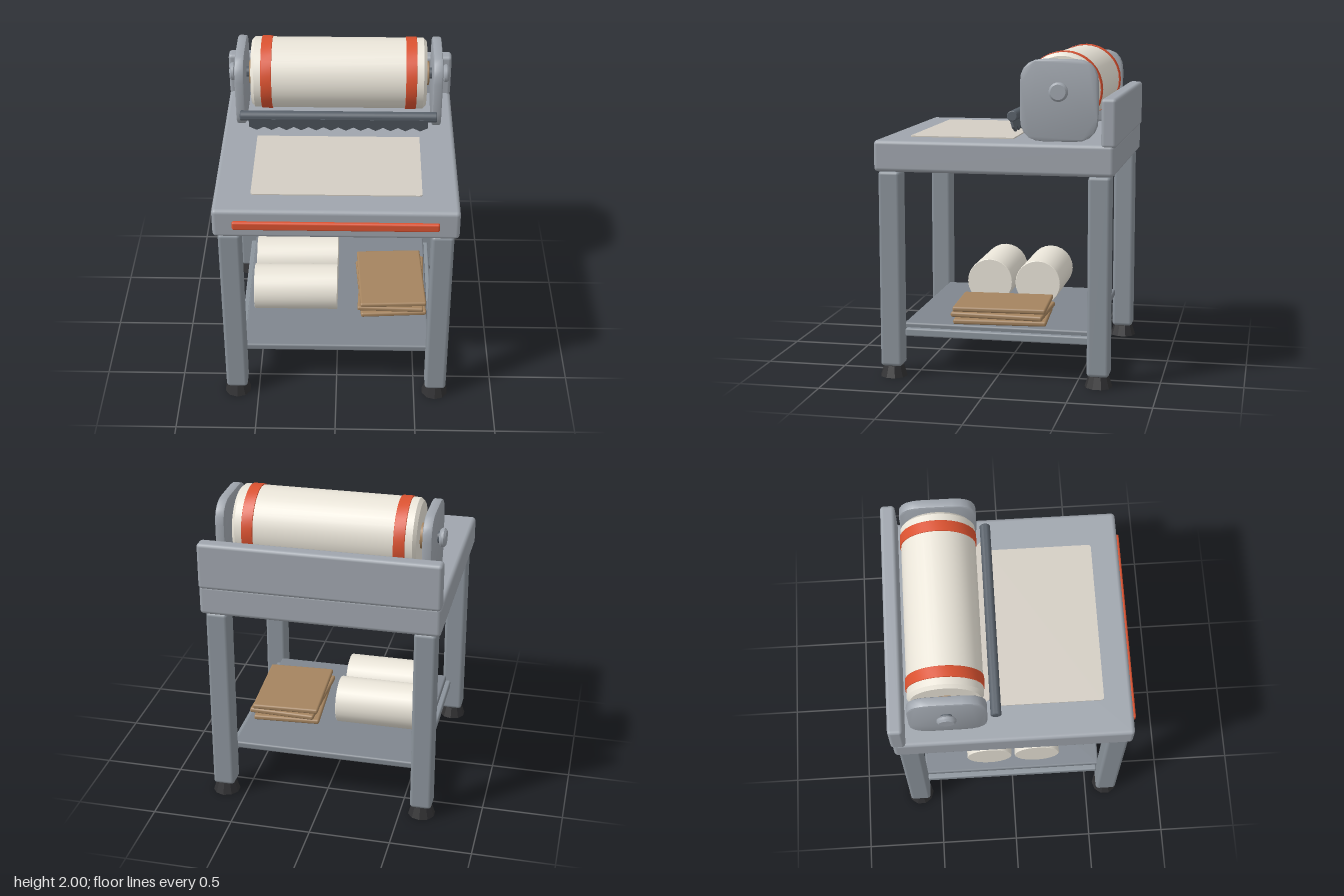
import * as THREE from 'three';
import { RoundedBoxGeometry } from 'three/addons/geometries/RoundedBoxGeometry.js';
import { toCreasedNormals } from 'three/addons/utils/BufferGeometryUtils.js';

const mat = (color, extra = {}) => new THREE.MeshStandardMaterial({ color, ...extra });
const steel = mat(0x9fa5ad);
const legSteel = mat(0x8b939b);
const shelfSteel = mat(0x7f868e);
const darkSteel = mat(0x59616a);
const rubber = mat(0x303032);
const orange = mat(0xdb5230);
const cream = mat(0xe9e4d8);
const sheetPaper = mat(0xd3cdc3, { side: THREE.DoubleSide });
const cardboard = mat(0xa5845f);

export function createModel() {
  const model = new THREE.Group();

  const add = (name, geometry, material, x = 0, y = 0, z = 0) => {
    const mesh = new THREE.Mesh(geometry, material);
    mesh.name = name;
    mesh.position.set(x, y, z);
    model.add(mesh);
    return mesh;
  };
  const box = (w, h, d, r) => new RoundedBoxGeometry(w, h, d, 2, r);
  // Solid of revolution along x, from [radius, x] pairs
  const turned = (pairs, sides = 24) => {
    const g = new THREE.LatheGeometry(pairs.map(([r, x]) => new THREE.Vector2(r, x)), sides);
    g.rotateZ(-Math.PI / 2);
    return toCreasedNormals(g, 0.6);
  };
  // Cylinder along x with bevelled rims
  const rod = (r, len, bevel = 0.005, sides = 24) => {
    const h = len / 2;
    return turned([[0, -h], [r - bevel, -h], [r, -h + bevel], [r, h - bevel], [r - bevel, h], [0, h]], sides);
  };

  // Worktop, back board and front strip
  add('worktop', box(1.46, 0.19, 1.45, 0.025), steel, 0, 1.375, -0.005);
  add('backBoard', box(1.46, 0.29, 0.09, 0.022), steel, 0, 1.595, -0.695);
  add('frontStrip', box(1.22, 0.055, 0.035, 0.012), orange, 0, 1.373, 0.723);

  // Legs with flared rubber feet
  for (const x of [-0.635, 0.635]) {
    for (const z of [-0.64, 0.635]) {
      add('leg', box(0.135, 1.21, 0.135, 0.022), legSteel, x, 0.675, z);
      const foot = new THREE.CylinderGeometry(0.062, 0.085, 0.07, 10);
      add('foot', toCreasedNormals(foot, 0.4), rubber, x, 0.035, z);
    }
  }

  // Lower shelf and its side rails
  add('shelf', box(1.18, 0.045, 1.17, 0.012), shelfSteel, 0, 0.302, -0.005);
  for (const x of [-0.6, 0.6]) {
    add('shelfRail', box(0.045, 0.05, 1.14, 0.01), legSteel, x, 0.27, -0.005);
  }

  // Spare rolls
  for (const z of [0.163, -0.153]) {
    add('spareRoll', rod(0.148, 0.54, 0.003), cream, -0.27, 0.473, z);
  }

  // Stack of boards, each turned a little
  [[0.35, 0.07], [0.355, -0.03], [0.352, 0.05]].forEach(([x, turn], i) => {
    const board = add('board', box(0.43, 0.032, 0.575, 0.012), cardboard, x, 0.341 + i * 0.039, 0);
    board.rotation.y = turn;
  });

  // Main roll on its spindle
  const axisY = 1.77, axisZ = -0.392;
  add('mainRoll', rod(0.224, 1.1, 0.02, 32), cream, 0, axisY, axisZ);
  add('rollCore', rod(0.077, 1.14), cardboard, 0, axisY, axisZ);
  add('spindle', rod(0.034, 1.34), darkSteel, 0, axisY, axisZ);

  // Side plate outline: an upright block with generous corners
  const w = 0.222, h = 0.232, r = 0.13;
  const plate = new THREE.Shape();
  plate.moveTo(-w + r, -h);
  plate.lineTo(w - r, -h);
  plate.quadraticCurveTo(w, -h, w, -h + r);
  plate.lineTo(w, h - r);
  plate.quadraticCurveTo(w, h, w - r, h);
  plate.lineTo(-w + r, h);
  plate.quadraticCurveTo(-w, h, -w, h - r);
  plate.lineTo(-w, -h + r);
  plate.quadraticCurveTo(-w, -h, -w + r, -h);
  const plateGeometry = new THREE.ExtrudeGeometry(plate, {
    depth: 0.034, bevelThickness: 0.012, bevelSize: 0.01, bevelSegments: 2, curveSegments: 5,
  });
  plateGeometry.translate(0, 0, -0.017);
  plateGeometry.rotateY(Math.PI / 2);
  const creasedPlate = toCreasedNormals(plateGeometry, 0.5);

  // Bands, side plates and knobs on both ends
  for (const s of [-1, 1]) {
    add('rollBand', rod(0.23, 0.068, 0.002, 32), orange, s * 0.453, axisY, axisZ);
    add('sidePlate', creasedPlate, steel, s * 0.617, 1.717, -0.388);
    add('spindleKnob', rod(0.057, 0.038, 0.012), steel, s * 0.677, axisY, axisZ);
  }

  // Cutter bar
  add('cutterBar', rod(0.032, 1.23), darkSteel, 0, 1.618, -0.105);

  // Toothed blade hanging below the bar, leaning back
  const teeth = 12, half = 0.56, pitch = (2 * half) / teeth;
  const blade = new THREE.Shape();
  blade.moveTo(half, 0);
  blade.lineTo(-half, 0);
  blade.lineTo(-half, -0.07);
  for (let i = 0; i < teeth; i++) {
    const x = -half + i * pitch;
    blade.lineTo(x + pitch / 2, -0.1);
    blade.lineTo(x + pitch, -0.07);
  }
  const bladeGeometry = new THREE.ExtrudeGeometry(blade, { depth: 0.014, bevelEnabled: false });
  add('cutterBlade', bladeGeometry, darkSteel, 0, 1.615, -0.087).rotation.x = 0.28;

  // Paper running down behind the bar, and the sheet on the worktop
  const tail = new THREE.PlaneGeometry(1.02, 0.165);
  add('paperTail', tail, sheetPaper, 0, 1.547, -0.168).rotation.x = 0.46;
  const sw = 0.51, sd = 0.322, c = 0.02;
  const sheet = new THREE.Shape();
  sheet.moveTo(-sw + c, -sd);
  sheet.lineTo(sw - c, -sd);
  sheet.quadraticCurveTo(sw, -sd, sw, -sd + c);
  sheet.lineTo(sw, sd);
  sheet.lineTo(-sw, sd);
  sheet.lineTo(-sw, -sd + c);
  sheet.quadraticCurveTo(-sw, -sd, -sw + c, -sd);
  const sheetGeometry = new THREE.ExtrudeGeometry(sheet, { depth: 0.008, bevelEnabled: false, curveSegments: 4 });
  sheetGeometry.rotateX(-Math.PI / 2);
  add('paperSheet', sheetGeometry, sheetPaper, 0, 1.469, 0.228);

  return model;
}
